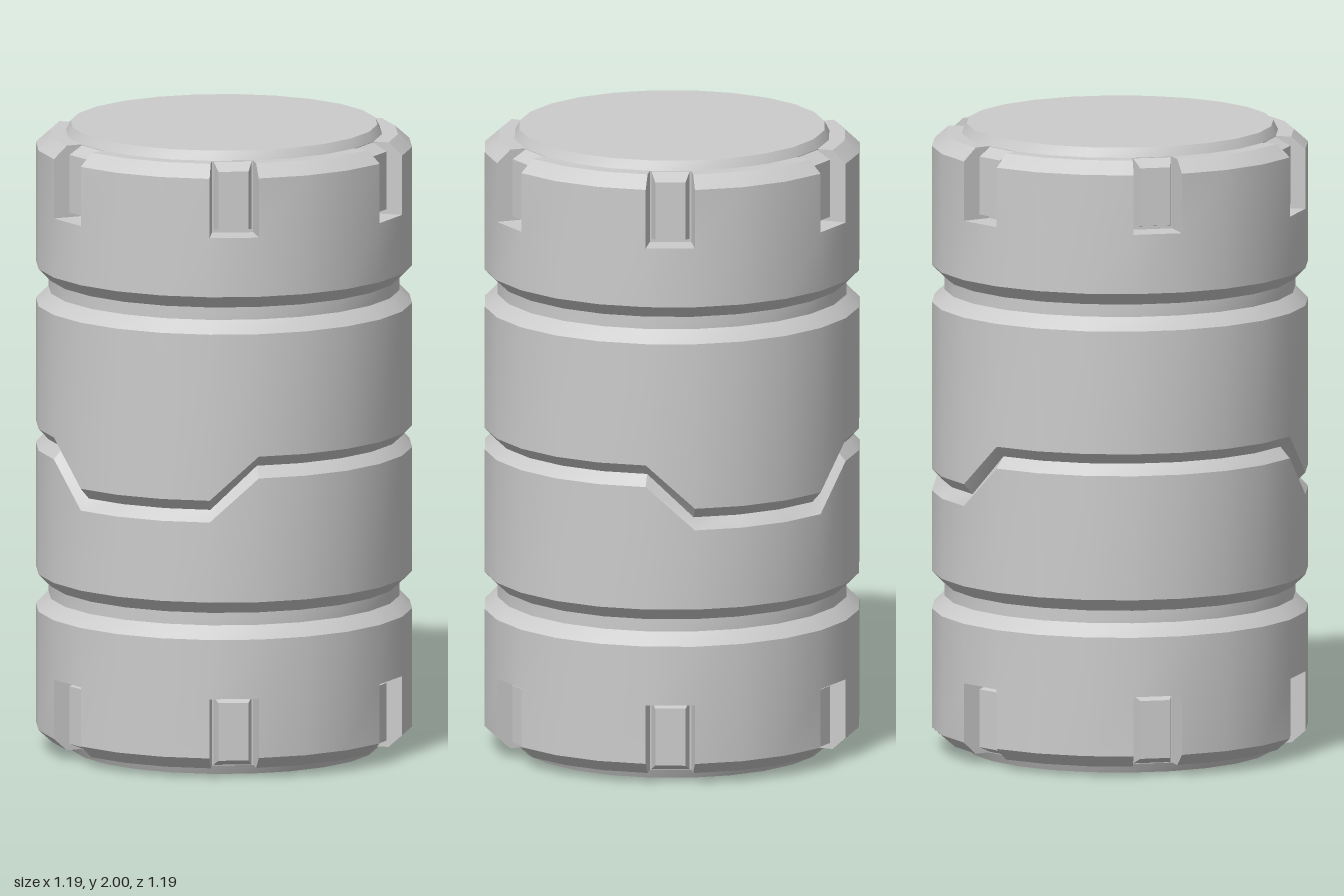
import * as THREE from 'three';
import { toCreasedNormals } from 'three/addons/utils/BufferGeometryUtils.js';

const SIDES = 24;
const R = 0.595;        // outer wall
const CAP = 0.5;        // cap edge and recess floor
const HEIGHT = 2;

// Point on the barrel; k counts sides around the axis and may be fractional,
// in which case the point lies on the straight chord between two corners.
function at(r, k, y) {
  const corner = (i) => {
    const a = THREE.MathUtils.degToRad(-2 + (360 / SIDES) * i);
    return new THREE.Vector3(r * Math.cos(a), y, -r * Math.sin(a));
  };
  const k0 = Math.floor(k);
  return corner(k0).lerp(corner(k0 + 1), k - k0);
}

// Collects polygons (corners counter-clockwise from outside) into one mesh
function makeBuilder() {
  const pos = [];
  const tri = (a, b, c) => [a, b, c].forEach((p) => pos.push(p.x, p.y, p.z));
  return {
    face(corners, mirrored = false) {
      let c = corners;
      if (mirrored) c = c.map((p) => new THREE.Vector3(p.x, HEIGHT - p.y, p.z)).reverse();
      for (let i = 1; i < c.length - 1; i++) tri(c[0], c[i], c[i + 1]);
    },
    mesh(name, material, crease) {
      const g = new THREE.BufferGeometry();
      g.setAttribute('position', new THREE.Float32BufferAttribute(pos, 3));
      g.computeVertexNormals();
      const m = new THREE.Mesh(toCreasedNormals(g, crease), material);
      m.name = name;
      return m;
    },
  };
}

// Barrel wall: stacked rings with bevelled grooves; the middle groove dips twice
function buildBody(material) {
  const b = makeBuilder();
  const lower = [
    [0.485, 0], [CAP, 0.03], [0.55, 0.03], [R, 0.07], [R, 0.26],
    [R, 0.45], [0.555, 0.49], [0.555, 0.53], [R, 0.57],
  ];
  const upper = lower.map(([r, y]) => [r, HEIGHT - y]).reverse();
  const rows = [...lower, [R, 0.967, 1], [0.562, 1.002, 1], [R, 1.037, 1], ...upper];
  const last = rows.length - 1;

  const dip = (k) => (k % 12 >= 5 && k % 12 <= 8 ? -0.14 : 0);
  const point = (j, k) => {
    const [r, y, wavy] = rows[j];
    return at(r, k, y + (wavy ? dip(k) : 0));
  };

  for (let k = 0; k < SIDES; k++) {
    for (let j = 0; j < last; j++) {
      // leave the openings for the recesses at both rims
      const atRim = (j >= 1 && j <= 3) || (j >= last - 4 && j <= last - 2);
      if (k % 4 === 0 && atRim) continue;
      b.face([point(j, k), point(j, k + 1), point(j + 1, k + 1), point(j + 1, k)]);
    }
  }

  // end discs
  const ring = [...Array(SIDES).keys()];
  b.face(ring.map((k) => point(last, k)));
  b.face(ring.map((k) => point(0, k)).reverse());
  return b.mesh('barrelBody', material, 0.5);
}

// Recess one side wide, open towards the rim
function buildRecess(k, mirrored, material) {
  const b = makeBuilder();
  const y0 = 1.74, y1 = 1.97;
  b.face([at(CAP, k, y0), at(CAP, k + 1, y0), at(CAP, k + 1, y1), at(CAP, k, y1)], mirrored);
  b.face([at(CAP, k, y0), at(R, k, y0), at(R, k + 1, y0), at(CAP, k + 1, y0)], mirrored);
  const wall = (i) => [[CAP, y0], [R, y0], [R, 1.93], [0.55, y1], [CAP, y1]].map(([r, y]) => at(r, i, y));
  b.face(wall(k).reverse(), mirrored);
  b.face(wall(k + 1), mirrored);
  return b.mesh('rimRecess', material, 0.1);
}

// Bevelled pad standing on the recess floor
function buildPad(k, mirrored, material) {
  const b = makeBuilder();
  const rect = (r, inset, y0, y1) => [
    at(r, k + inset, y0), at(r, k + 1 - inset, y0),
    at(r, k + 1 - inset, y1), at(r, k + inset, y1),
  ];
  const base = rect(CAP, 0.04, 1.75, 1.968);
  const front = rect(0.555, 0.17, 1.76, 1.945);
  b.face(front, mirrored);
  for (let i = 0; i < 4; i++) {
    const n = (i + 1) % 4;
    b.face([base[i], base[n], front[n], front[i]], mirrored);
  }
  return b.mesh('recessPad', material, 0.1);
}

export function createModel() {
  const group = new THREE.Group();
  group.name = 'barrel';
  const material = new THREE.MeshStandardMaterial({ color: 0xcccccc });

  group.add(buildBody(material));
  for (const mirrored of [false, true]) {
    const rim = new THREE.Group();
    rim.name = mirrored ? 'bottomRimDetails' : 'topRimDetails';
    for (let k = 0; k < SIDES; k += 4) {
      rim.add(buildRecess(k, mirrored, material), buildPad(k, mirrored, material));
    }
    group.add(rim);
  }
  return group;
}
